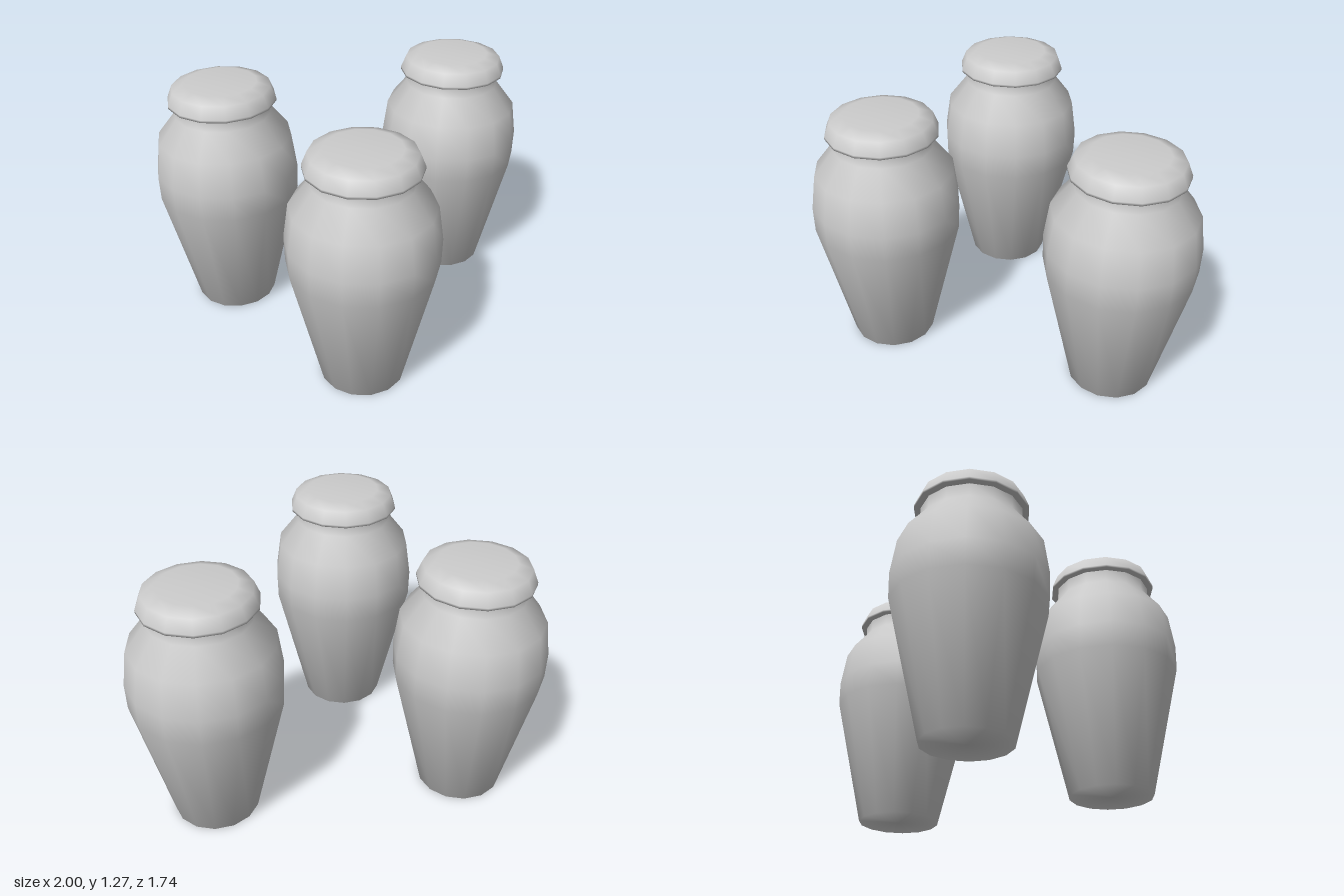
import * as THREE from 'three';

const SIDES = 14;

// Profiles run upward from the axis as [radius, height]
const BODY = [[0, 0], [0.213, 0], [0.372, 0.67], [0.375, 0.8], [0.349, 0.98], [0.248, 1.11], [0.248, 1.18]];
const LID = [[0, 1.175], [0.248, 1.175], [0.28, 1.175], [0.28, 1.188], [0.254, 1.252], [0.185, 1.275], [0, 1.275]];

// Centre of each jar as [name, x, z]
const JARS = [['frontJar', -0.063, 0.493], ['backRightJar', -0.634, -0.345], ['backLeftJar', 0.634, -0.497]];

function lathe(profile) {
  return new THREE.LatheGeometry(profile.map(([r, y]) => new THREE.Vector2(r, y)), SIDES);
}

export function createModel() {
  const model = new THREE.Group();
  model.name = 'jars';
  const material = new THREE.MeshStandardMaterial({ color: 0xcccccc });
  const parts = { body: lathe(BODY), lid: lathe(LID) };

  for (const [name, x, z] of JARS) {
    const jar = new THREE.Group();
    jar.name = name;
    jar.position.set(x, 0, z);
    for (const [part, geometry] of Object.entries(parts)) {
      const mesh = new THREE.Mesh(geometry, material);
      mesh.name = part;
      jar.add(mesh);
    }
    model.add(jar);
  }
  return model;
}
